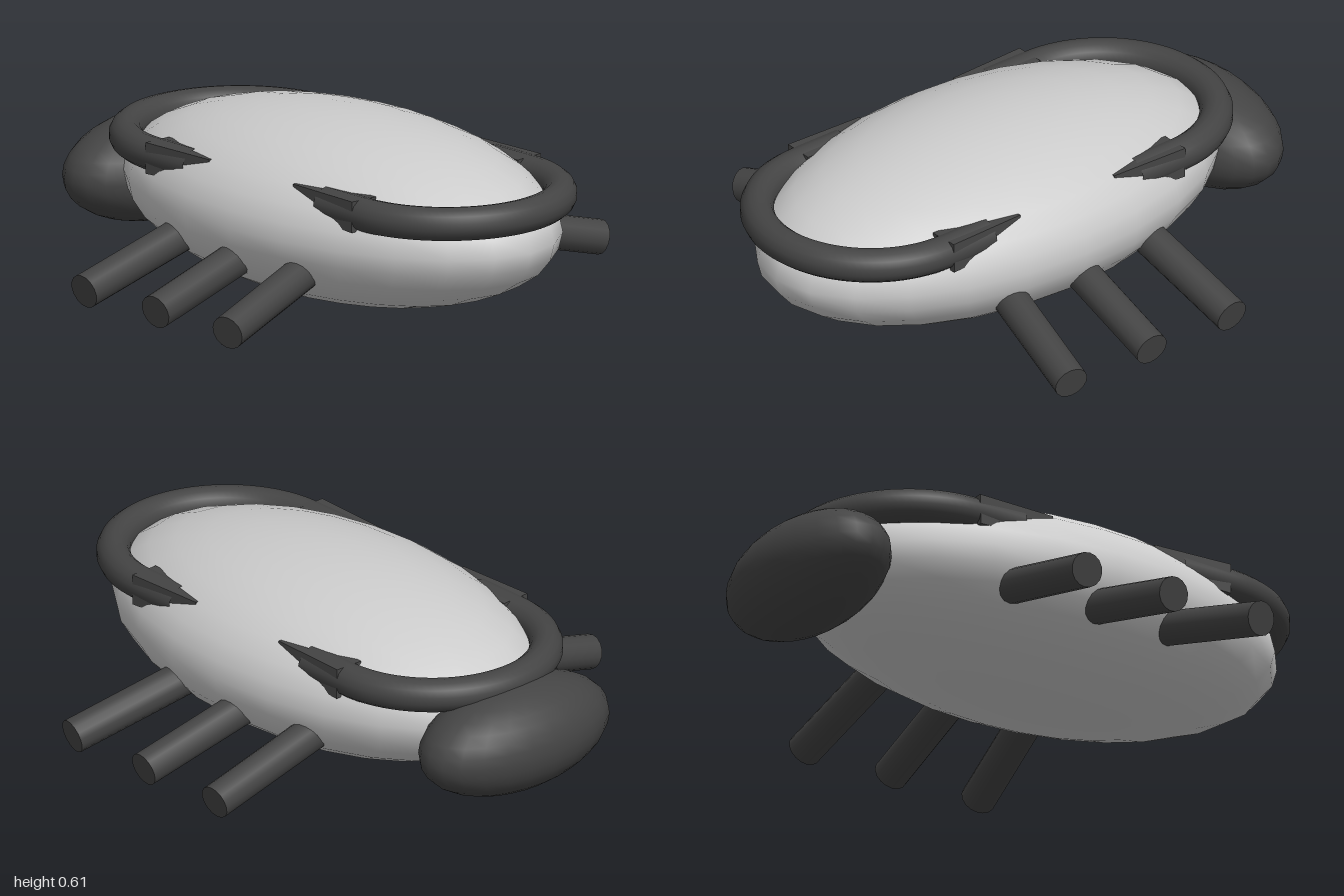
import * as THREE from 'three';

const light = new THREE.MeshStandardMaterial({ color: 0xcccccc });
const dark = new THREE.MeshStandardMaterial({ color: 0x444444 });

function ellipsoid(name, material, radii, position) {
  const mesh = new THREE.Mesh(new THREE.SphereGeometry(1, 24, 16), material);
  mesh.name = name;
  mesh.scale.set(...radii);
  mesh.position.set(...position);
  return mesh;
}

// Straight round or square bar between two points
function bar(name, from, to, r0, r1, sides) {
  const a = new THREE.Vector3(...from), b = new THREE.Vector3(...to);
  const geometry = new THREE.CylinderGeometry(r1, r0, a.distanceTo(b), sides);
  if (sides === 4) geometry.rotateY(Math.PI / 4);
  const mesh = new THREE.Mesh(sides === 4 ? geometry.toNonIndexed() : geometry, dark);
  if (sides === 4) mesh.geometry.computeVertexNormals();
  mesh.name = name;
  mesh.position.copy(a).add(b).multiplyScalar(0.5);
  mesh.quaternion.setFromUnitVectors(new THREE.Vector3(0, 1, 0), b.sub(a).normalize());
  return mesh;
}

// Half-ring rail whose straight ends sink into the body; dir = 1 front, -1 back
function makeRail(name, dir) {
  const rail = new THREE.Group();
  rail.name = name;
  const y = 0.435, r = 0.37, zc = 0.082 + dir * 0.488;
  const points = [];
  for (let i = 0; i <= 24; i++) {
    const a = (i / 24) * Math.PI;
    points.push(new THREE.Vector3(r * Math.cos(a), y, zc + dir * r * Math.sin(a)));
  }
  points.unshift(new THREE.Vector3(r, y, zc - dir * 0.18));
  points.push(new THREE.Vector3(-r, y, zc - dir * 0.18));
  const tube = new THREE.Mesh(
    new THREE.TubeGeometry(new THREE.CatmullRomCurve3(points), 64, 0.056, 14), dark);
  tube.name = 'railTube';
  rail.add(tube);
  // flat tapered anchors at both ends
  for (const s of [1, -1]) {
    rail.add(bar('railAnchor', [s * r, 0.433, zc], [s * 0.365, 0.438, zc - dir * 0.29], 0.074, 0.066, 4));
  }
  return rail;
}

export function createModel() {
  const model = new THREE.Group();
  model.name = 'beetle';

  model.add(ellipsoid('body', light, [0.51, 0.303, 0.89], [0, 0.312, 0.08]));
  model.add(ellipsoid('head', dark, [0.38, 0.183, 0.205], [0, 0.26, -0.795]));
  model.add(makeRail('frontRail', 1), makeRail('backRail', -1));

  // three splayed legs on each side: [tip z, sideways slope]
  for (const [z, slope] of [[0.415, 0.2], [0.075, 0.08], [-0.262, 0]]) {
    for (const s of [1, -1]) {
      model.add(bar(s > 0 ? 'leftLeg' : 'rightLeg',
        [s * 0.35, 0.215, z - slope * 0.48], [s * 0.832, 0.093, z], 0.058, 0.058, 16));
    }
  }
  return model;
}
